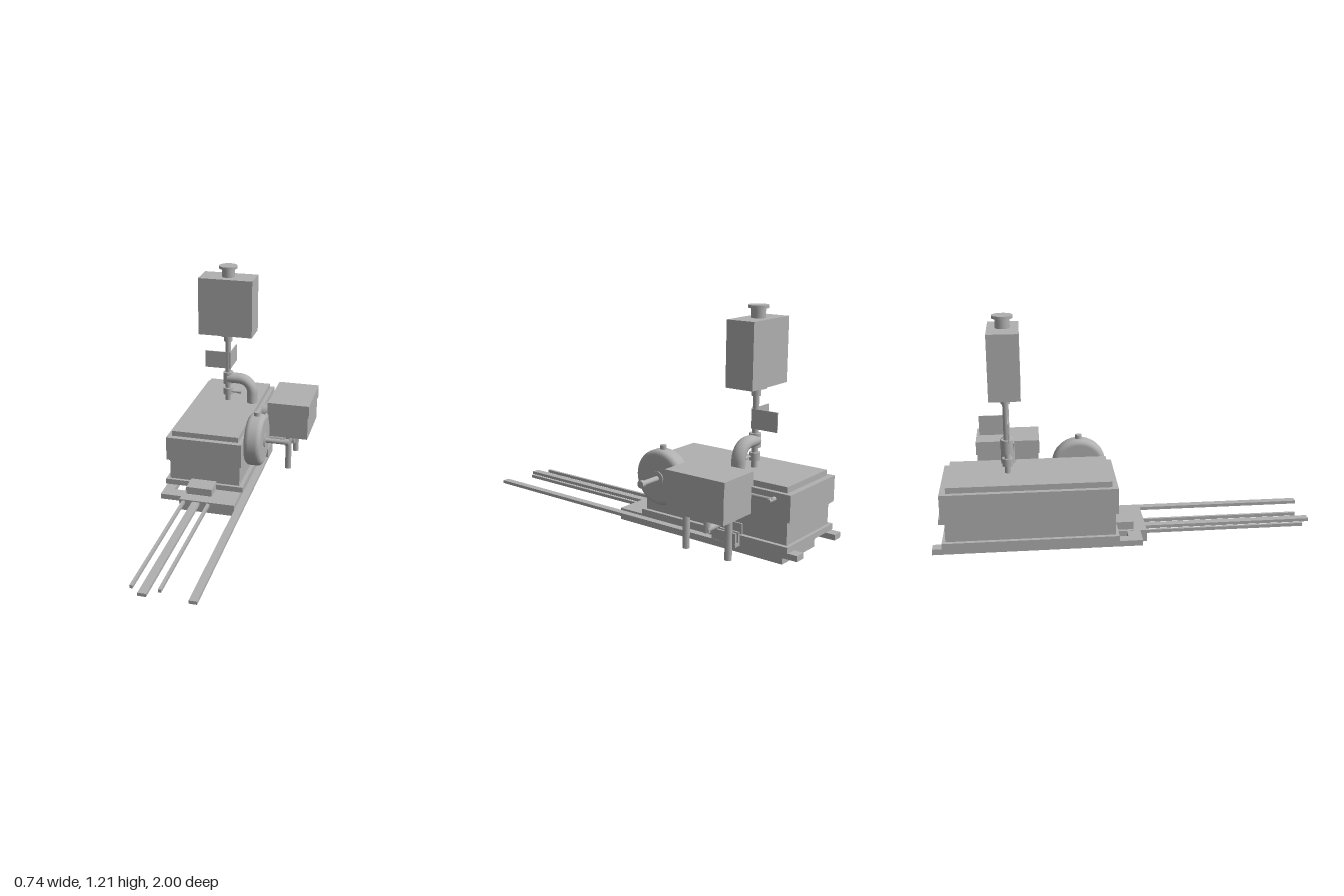
import * as THREE from 'three';

export function createModel() {
  const model = new THREE.Group();
  const grey = new THREE.MeshStandardMaterial({ color: 0xb0b0b0 });
  grey.name = 'plain grey';

  const add = (name, geometry, x = 0, y = 0, z = 0) => {
    const mesh = new THREE.Mesh(geometry, grey);
    mesh.name = name;
    mesh.position.set(x, y, z);
    model.add(mesh);
    return mesh;
  };
  // Box given by its limits on each axis
  const box = (name, x0, x1, y0, y1, z0, z1) =>
    add(name, new THREE.BoxGeometry(x1 - x0, y1 - y0, z1 - z0), (x0 + x1) / 2, (y0 + y1) / 2, (z0 + z1) / 2);
  // Cylinders along each axis
  const post = (name, r, x, z, y0, y1, sides = 24) =>
    add(name, new THREE.CylinderGeometry(r, r, y1 - y0, sides), x, (y0 + y1) / 2, z);
  const shaftX = (name, r, y, z, x0, x1) =>
    add(name, new THREE.CylinderGeometry(r, r, x1 - x0, 20).rotateZ(Math.PI / 2), (x0 + x1) / 2, y, z);
  const shaftZ = (name, r, x, y, z0, z1) =>
    add(name, new THREE.CylinderGeometry(r, r, z1 - z0, 16).rotateX(Math.PI / 2), x, y, (z0 + z1) / 2);

  // Base: keel, side runners and front plates
  box('keel', -0.247, 0.065, 0, 0.064, -0.92, 0.105);
  box('leftRunner', 0.005, 0.064, 0.033, 0.063, -1, -0.9);
  box('rightRunner', -0.365, -0.307, 0.033, 0.063, -1, 0.07);
  box('frontCrosspiece', -0.308, -0.247, 0.033, 0.063, 0.0, 0.07);
  box('basePlate', -0.373, 0.073, 0.064, 0.095, -0.95, -0.052);
  box('frontBlock', -0.227, -0.08, 0.064, 0.106, -0.07, 0.035);

  // Long flat bars reaching forward
  for (const [x0, x1, z0, z1] of [
    [-0.231, -0.215, 0.09, 0.95], [-0.174, -0.131, 0.09, 1],
    [-0.09, -0.074, 0.09, 0.95], [0.074, 0.115, -0.68, 1],
  ]) box('longBar', x0, x1, 0.04, 0.057, z0, z1);
  for (const x of [0.075, 0.102]) box('barGuide', x, x + 0.012, 0.056, 0.112, -0.68, -0.54);

  // Body and lid
  box('lowerBody', -0.351, 0.051, 0.095, 0.215, -0.932, -0.07);
  box('upperBody', -0.368, 0.063, 0.215, 0.352, -0.952, -0.055);
  box('lid', -0.341, 0.04, 0.352, 0.382, -0.92, -0.086);
  box('sideBearing', 0.045, 0.06, 0.09, 0.15, -0.68, -0.535);
  box('sideTab', -0.364, -0.345, 0.175, 0.215, -0.375, -0.325);

  // Flywheel with rounded rim, hub and crank handle
  const wheelY = 0.319, wheelZ = -0.228;
  const half = 0.048, radius = 0.147, fillet = 0.028;
  const profile = [new THREE.Vector2(0.001, -half)];
  for (const side of [-1, 1]) {
    for (let i = 0; i <= 5; i++) {
      const a = (side < 0 ? i : 5 - i) / 5 * Math.PI / 2;
      profile.push(new THREE.Vector2(
        radius - fillet + fillet * Math.sin(a),
        side * (half - fillet + fillet * Math.cos(a))));
    }
  }
  profile.push(new THREE.Vector2(0.001, half));
  add('flywheel', new THREE.LatheGeometry(profile, 40).rotateZ(-Math.PI / 2), 0.112, wheelY, wheelZ);
  shaftX('wheelHub', 0.038, wheelY, wheelZ, 0.04, 0.166);
  shaftX('crankShaft', 0.014, wheelY, wheelZ, 0.15, 0.28);
  shaftX('crankKnob', 0.019, wheelY, wheelZ, 0.275, 0.298);
  post('wheelCap', 0.017, 0.113, wheelZ, 0.455, 0.487);

  // Side box on three legs
  box('sideBoxLower', 0.133, 0.364, 0.245, 0.385, -0.779, -0.447);
  box('sideBoxTop', 0.128, 0.37, 0.383, 0.456, -0.785, -0.441);
  for (const z of [-0.482, -0.732]) post('sideBoxLeg', 0.018, 0.25, z, 0.034, 0.25, 12);
  post('sideBoxShortLeg', 0.018, 0.25, -0.607, 0.143, 0.25, 12);
  shaftX('crossShaft', 0.019, 0.16, -0.607, 0.045, 0.262);

  // Side linkage behind the flywheel
  shaftZ('linkRod', 0.009, 0.095, 0.325, -0.875, -0.35);
  shaftX('linkPin', 0.011, 0.32, -0.865, 0.055, 0.118);
  for (const z of [-0.7, -0.515]) shaftX('linkCollar', 0.02, 0.325, z, 0.06, 0.122);
  shaftX('linkWheel', 0.042, 0.325, -0.615, 0.06, 0.112);
  shaftX('linkAxle', 0.014, 0.325, -0.615, 0.05, 0.135);

  // Column with collars and valve handle
  const cx = -0.151, cz = -0.61;
  post('column', 0.016, cx, cz, 0.37, 0.77);
  post('lowerCollar', 0.028, cx, cz, 0.42, 0.461);
  post('upperCollar', 0.03, cx, cz, 0.488, 0.561);
  shaftX('valveHandle', 0.006, 0.441, cz + 0.01, cx, -0.085);
  shaftX('valveGrip', 0.009, 0.441, cz + 0.01, -0.095, -0.068);

  // Bent pipe from the column down into the lid
  const path = new THREE.CurvePath();
  const v = (x, y) => new THREE.Vector3(x, y, 0);
  path.add(new THREE.LineCurve3(v(cx, 0.525), v(-0.083, 0.525)));
  path.add(new THREE.CubicBezierCurve3(v(-0.083, 0.525), v(-0.039, 0.525), v(-0.003, 0.489), v(-0.003, 0.445)));
  path.add(new THREE.LineCurve3(v(-0.003, 0.445), v(-0.003, 0.375)));
  add('bentPipe', new THREE.TubeGeometry(path, 32, 0.031, 20).scale(1, 1, 1.2), 0, 0, cz);

  // Two thin plates set at a right angle
  box('platePanelFront', -0.288, -0.133, 0.585, 0.687, -0.602, -0.596);
  box('platePanelSide', -0.139, -0.133, 0.585, 0.687, -0.748, -0.596);

  // Upright tank with neck and cap
  post('tankNeck', 0.024, cx, cz, 0.754, 0.795);
  post('tankFlange', 0.053, cx, cz, 0.793, 0.809, 32);
  box('tank', -0.31, 0.008, 0.808, 1.144, -0.689, -0.531);
  post('capStem', 0.037, cx, cz, 1.14, 1.195, 32);
  post('capTop', 0.053, cx, cz, 1.193, 1.208, 32);

  return model;
}
